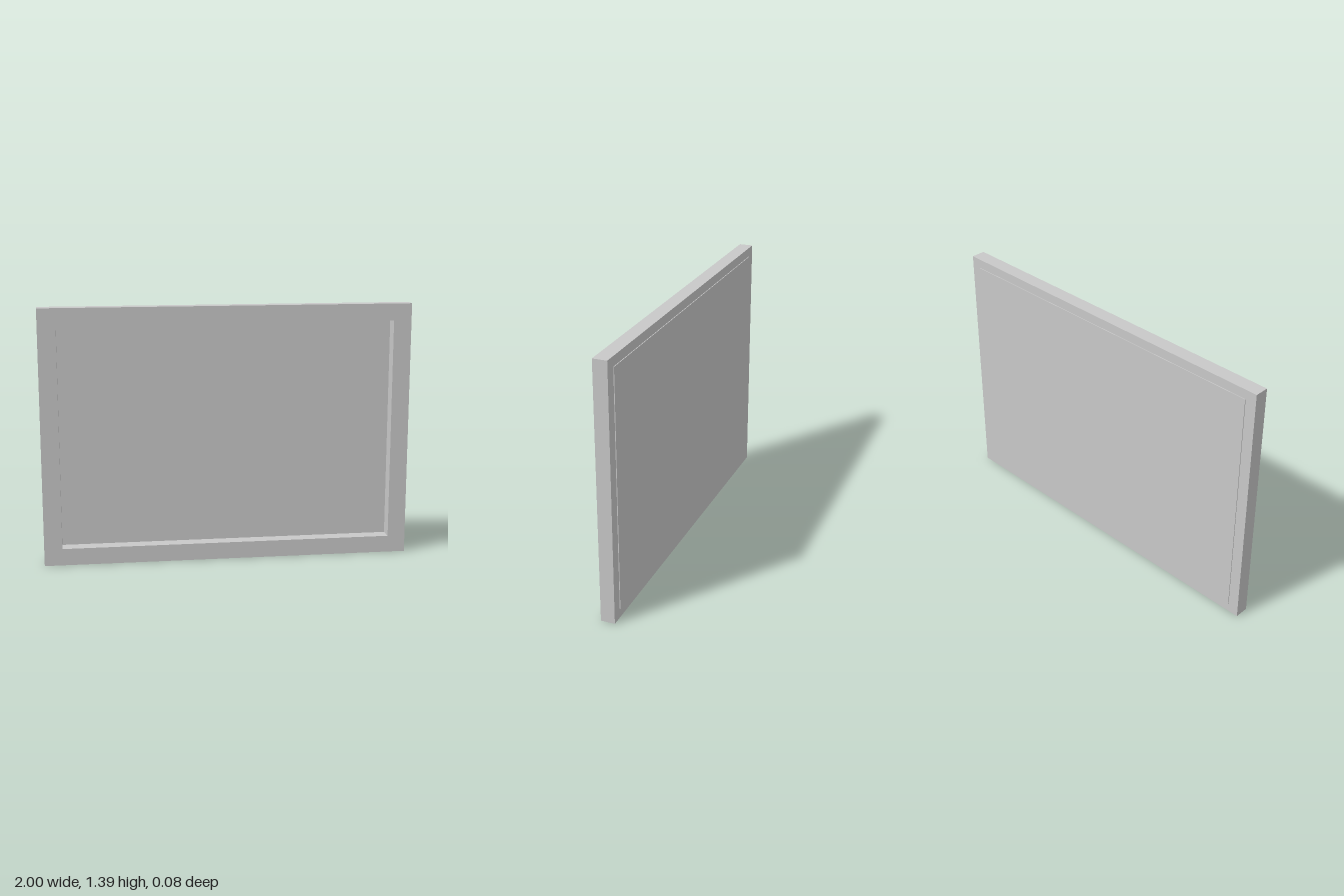
import * as THREE from 'three';

const H = 1.393;        // overall height
const SIDE = 0.097;     // width of the side rails
const ENDS = 0.092;     // width of the top and bottom rails
const BACK = -0.036;    // rear of the rails
const FRONT = 0.04;     // face of the rails

// Rail cross-section: [0 = outer edge, 1 = inner edge; z]
const profile = [[0, BACK], [0, FRONT], [1, FRONT], [1, BACK]];

// Corner of the rectangle at a given inset, counted anticlockwise from lower left
function corner(i, [t, z]) {
  const x = i % 4 === 1 || i % 4 === 2 ? 1 - t * SIDE : -1 + t * SIDE;
  const y = i % 4 >= 2 ? H - t * ENDS : t * ENDS;
  return [x, y, z];
}

// One mitred rail running from corner i to corner i + 1
function railGeometry(i) {
  const pos = [];
  const quad = (a, b, c, d) => pos.push(...a, ...b, ...c, ...a, ...c, ...d);
  const start = profile.map((p) => corner(i, p));
  const end = profile.map((p) => corner(i + 1, p));
  for (let k = 0; k < 4; k++) {
    const n = (k + 1) % 4;
    quad(start[k], end[k], end[n], start[n]);
  }
  // Mitred ends
  quad(...start);
  quad(...end.reverse());
  const geo = new THREE.BufferGeometry();
  geo.setAttribute('position', new THREE.Float32BufferAttribute(pos, 3));
  geo.computeVertexNormals();
  return geo;
}

export function createModel() {
  const model = new THREE.Group();
  model.name = 'pictureFrame';
  const grey = new THREE.MeshStandardMaterial({ color: 0xc8c8c8 });
  grey.name = 'lightGrey';

  // Four mitred rails
  ['bottomRail', 'leftRail', 'topRail', 'rightRail'].forEach((name, i) => {
    const rail = new THREE.Mesh(railGeometry(i), grey);
    rail.name = name;
    model.add(rail);
  });

  // Thin backing board fixed behind the rails
  const board = new THREE.Mesh(new THREE.BoxGeometry(1.88, 1.291, 0.004), grey);
  board.name = 'backingBoard';
  board.position.set(0, H / 2, BACK - 0.002);
  model.add(board);

  return model;
}
